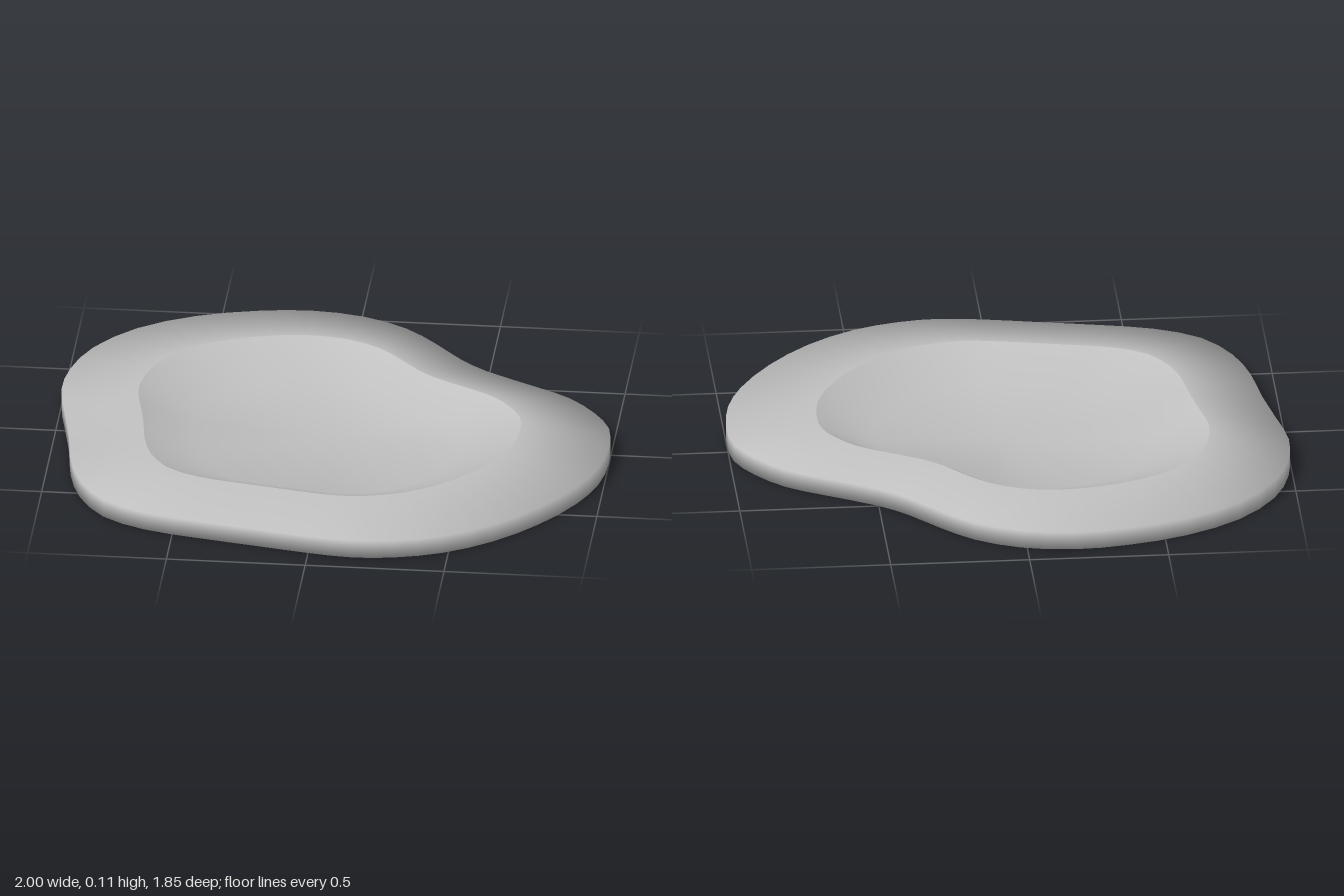
import * as THREE from 'three';
import { mergeVertices } from 'three/addons/utils/BufferGeometryUtils.js';

const SEGMENTS = 66;

// Wavy plan outline as x, z pairs, running from +x towards -z
const OUTLINE = [
  [1, 0.07], [0.985, -0.08], [0.92, -0.2], [0.82, -0.31], [0.7, -0.385], [0.5, -0.5],
  [0.4, -0.585], [0.3, -0.7], [0.18, -0.815], [0.02, -0.895], [-0.17, -0.925], [-0.36, -0.905],
  [-0.58, -0.84], [-0.78, -0.72], [-0.92, -0.55], [-0.985, -0.37], [-1, -0.2], [-0.97, -0.02],
  [-0.935, 0.17], [-0.91, 0.36], [-0.86, 0.53], [-0.76, 0.68], [-0.6, 0.77], [-0.4, 0.82],
  [-0.2, 0.86], [0, 0.9], [0.16, 0.92], [0.31, 0.905], [0.48, 0.85], [0.65, 0.74],
  [0.8, 0.585], [0.92, 0.4], [0.98, 0.24],
];

// Smooth normals weighted by corner angle, so narrow bands round off wide ones
function smoothByAngle(geometry) {
  const position = geometry.attributes.position;
  const index = geometry.index.array;
  const sums = Array.from({ length: position.count }, () => new THREE.Vector3());
  for (let f = 0; f < index.length; f += 3) {
    const ids = [index[f], index[f + 1], index[f + 2]];
    const p = ids.map((id) => new THREE.Vector3().fromBufferAttribute(position, id));
    const normal = new THREE.Triangle(...p).getNormal(new THREE.Vector3());
    ids.forEach((id, k) => {
      const u = p[(k + 1) % 3].clone().sub(p[k]);
      const v = p[(k + 2) % 3].clone().sub(p[k]);
      sums[id].addScaledVector(normal, u.angleTo(v));
    });
  }
  const normals = sums.flatMap((n) => n.normalize().toArray());
  geometry.setAttribute('normal', new THREE.Float32BufferAttribute(normals, 3));
  return geometry;
}

// Skins scaled copies of the outline; each ring is [scale, height, x shift]
function loft(outline, rings) {
  const positions = [];
  const index = [];
  rings.forEach(([scale, y, shift], r) => {
    for (let i = 0; i < SEGMENTS; i++) {
      positions.push(outline[i].x * scale + shift, y, outline[i].z * scale);
      if (r === 0) continue;
      const next = (i + 1) % SEGMENTS;
      const below = (r - 1) * SEGMENTS;
      const above = r * SEGMENTS;
      if (rings[r - 1][0] > 0) index.push(below + i, below + next, above + next);
      if (scale > 0) index.push(below + i, above + next, above + i);
    }
  });
  const geometry = new THREE.BufferGeometry();
  geometry.setAttribute('position', new THREE.Float32BufferAttribute(positions, 3));
  geometry.setIndex(index);
  return smoothByAngle(mergeVertices(geometry, 1e-5));
}

export function createModel() {
  const group = new THREE.Group();
  group.name = 'shallowBasin';

  const stone = new THREE.MeshStandardMaterial({ color: 0xc0c0c0 });
  stone.name = 'light grey';

  const curve = new THREE.CatmullRomCurve3(
    OUTLINE.map(([x, z]) => new THREE.Vector3(x, 0, z)), true);
  const outline = Array.from({ length: SEGMENTS }, (_, i) => curve.getPoint(i / SEGMENTS));

  const addPart = (name, rings) => {
    const mesh = new THREE.Mesh(loft(outline, rings), stone);
    mesh.name = name;
    group.add(mesh);
  };

  // Underside, outer wall and sloping rim share smooth normals
  addPart('outerShell', [[0, 0, 0], [1, 0, 0], [1, 0.067, 0], [0.697, 0.107, -0.02]]);

  // Hollow: steep sides falling from a sharp rim edge to a nearly flat floor
  addPart('innerBowl', [[0.697, 0.107, -0.02], [0.49, 0.022, -0.015], [0, 0.015, 0]]);

  return group;
}
